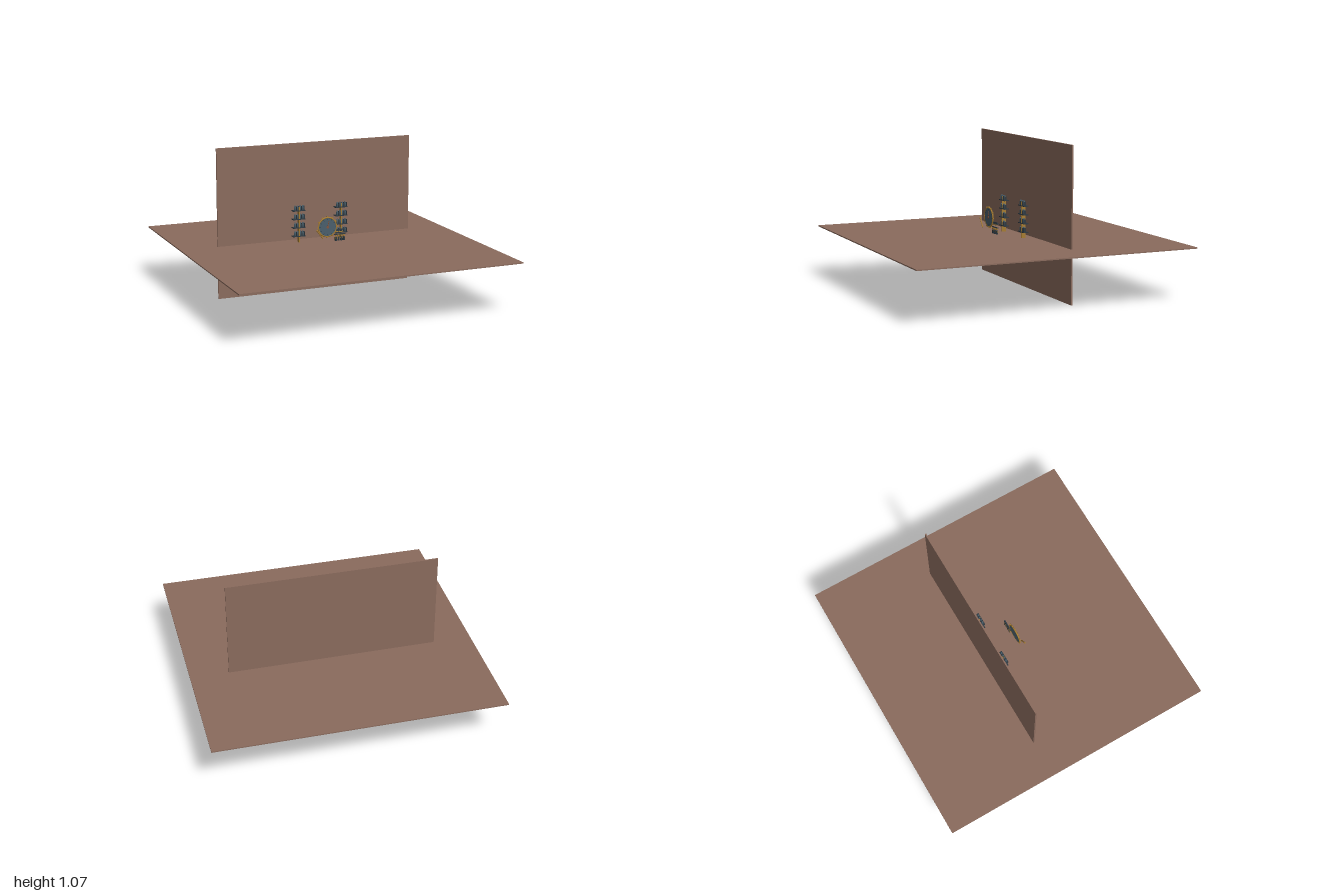
import * as THREE from 'three';

const mat = (name, color) => {
  const m = new THREE.MeshStandardMaterial({ color });
  m.name = name;
  return m;
};

export function createModel() {
  const root = new THREE.Group();
  root.name = 'workshop';
  const brown = mat('brown boards', 0x8a6b5d);
  const slate = mat('slate', 0x4a5f6b);
  const dark = mat('dark iron', 0x2f3a42);
  const brass = mat('brass', 0xa67c33);
  const copper = mat('copper', 0x85543c);

  const add = (parent, name, geometry, material, x, y, z) => {
    const mesh = new THREE.Mesh(geometry, material);
    mesh.name = name;
    mesh.position.set(x, y, z);
    parent.add(mesh);
    return mesh;
  };
  const box = (parent, name, material, w, h, d, x, y, z) =>
    add(parent, name, new THREE.BoxGeometry(w, h, d), material, x, y, z);
  const group = (name, x, y, z) => {
    const g = new THREE.Group();
    g.name = name;
    g.position.set(x, y, z);
    root.add(g);
    return g;
  };

  // Floor and back wall, which passes through it
  box(root, 'floor', brown, 2, 0.008, 2, 0, 0.371, 0);
  box(root, 'backWall', brown, 1.464, 1.066, 0.01, 0, 0.533, -0.2);

  // Bottle racks: a post, four boards and a row of bottles on each
  const bottle = new THREE.LatheGeometry([
    [0, 0], [0.0075, 0], [0.0075, 0.023], [0.005, 0.028], [0.004, 0.034], [0, 0.034],
  ].map(([r, y]) => new THREE.Vector2(r, y)), 10);
  for (const side of [-1, 1]) {
    const rack = group(side < 0 ? 'rightRack' : 'leftRack', side * 0.161, 0.375, -0.115);
    box(rack, 'post', brass, 0.007, 0.255, 0.03, 0, 0.1275, 0);
    for (let i = 0; i < 4; i++) {
      const y = 0.044 + i * 0.061;
      box(rack, 'shelf', dark, 0.092, 0.006, 0.037, 0, y, 0);
      for (let j = 0; j < 4; j++) {
        const x = (j - 1.5) * 0.0195;
        add(rack, 'bottle', bottle, slate, x, y + 0.003, 0.006);
        box(rack, 'bottleDivider', dark, 0.004, 0.028, 0.016, x + 0.01, y + 0.017, 0.006);
      }
    }
  }

  // Round dial with a brass toothed rim, tick marks and a hand
  const dial = group('dial', -0.018, 0.508, 0.065);
  const face = add(dial, 'dialFace', new THREE.CylinderGeometry(0.066, 0.066, 0.008, 40), slate, 0, 0, 0);
  face.rotation.x = Math.PI / 2;
  add(dial, 'dialRim', new THREE.TorusGeometry(0.067, 0.0055, 8, 40), brass, 0, 0, 0);
  for (let i = 0; i < 12; i++) {
    const a = i * Math.PI / 6;
    const place = (name, material, w, h, d, r, z) => {
      const m = box(dial, name, material, w, h, d, Math.cos(a) * r, Math.sin(a) * r, z);
      m.rotation.z = a;
    };
    place('rimStud', brass, 0.008, 0.008, 0.007, 0.074, 0);
    place('tick', dark, 0.009, 0.003, 0.002, 0.055, 0.0045);
  }
  const hand = box(dial, 'hand', copper, 0.004, 0.045, 0.003, 0.005, 0.021, 0.0055);
  hand.rotation.z = -0.25;
  const hub = add(dial, 'hub', new THREE.CylinderGeometry(0.009, 0.009, 0.006, 16), copper, 0, 0, 0.005);
  hub.rotation.x = Math.PI / 2;

  // Slanted lever in front of the dial
  const lever = group('lever', -0.085, 0.465, 0.093);
  lever.rotation.z = 0.65;
  add(lever, 'leverRod', new THREE.CylinderGeometry(0.004, 0.004, 0.078, 10), brass, 0, 0, 0);
  add(lever, 'leverKnob', new THREE.SphereGeometry(0.006, 12, 8), brass, 0, 0.036, 0);

  // Key panel beside the dial: linking arms above two rows of keys
  const panel = group('keyPanel', 0.078, 0.405, 0.06);
  box(panel, 'upperArm', dark, 0.07, 0.007, 0.008, 0, 0.077, -0.003);
  box(panel, 'lowerArm', brass, 0.066, 0.005, 0.008, -0.005, 0.062, 0);
  box(panel, 'keyRail', dark, 0.08, 0.006, 0.01, 0, 0.044, 0);
  box(panel, 'keyBase', brass, 0.08, 0.007, 0.01, 0, 0.018, 0);
  for (let i = 0; i < 4; i++) {
    const x = (i - 1.5) * 0.02;
    box(panel, 'key', dark, 0.012, 0.026, 0.012, x, 0.012, 0.001);
    box(panel, 'keyCap', brass, 0.011, 0.009, 0.012, x, 0.034, 0.001);
    box(panel, 'armStud', dark, 0.008, 0.012, 0.009, x, 0.07, -0.002);
  }
  return root;
}
